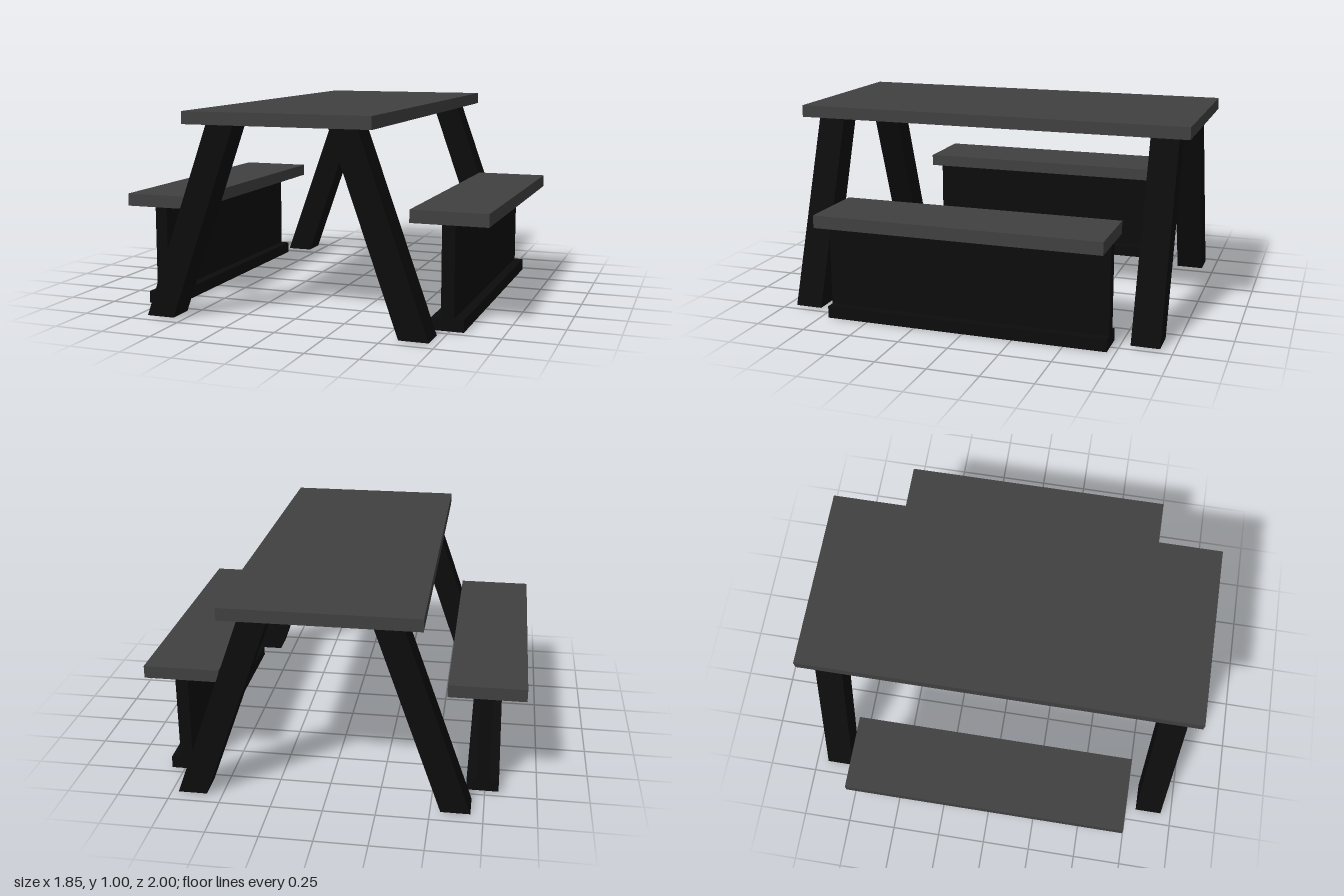
import * as THREE from 'three';

const boardMaterial = new THREE.MeshStandardMaterial({ color: 0x404040, flatShading: true });
const frameMaterial = new THREE.MeshStandardMaterial({ color: 0x0c0c0c, flatShading: true });

// Box given by its limits on each axis
function box(name, material, [x0, x1], [y0, y1], [z0, z1]) {
  const mesh = new THREE.Mesh(new THREE.BoxGeometry(x1 - x0, y1 - y0, z1 - z0), material);
  mesh.position.set((x0 + x1) / 2, (y0 + y1) / 2, (z0 + z1) / 2);
  mesh.name = name;
  return mesh;
}

// Slanted leg with level ends, splaying outwards towards the ground
function leg(name, side, z) {
  const centre = 0.0125;
  const outline = [[0.5625, 0.005], [0.7025, 0.005], [0.37, 0.94], [0.2325, 0.94]];
  const shape = new THREE.Shape(outline.map(([x, y]) => new THREE.Vector2(centre + side * x, y)));
  const geometry = new THREE.ExtrudeGeometry(shape, { depth: 0.138, bevelEnabled: false });
  const mesh = new THREE.Mesh(geometry, frameMaterial);
  mesh.position.z = z - 0.069;
  mesh.name = name;
  return mesh;
}

// Bench: seat board on an upright panel with a wider foot
function bench(name, side) {
  const group = new THREE.Group();
  group.name = name;
  const length = [-0.71, 0.71];
  group.add(
    box('seat', boardMaterial, [-0.186, 0.186], [0.493, 0.555], length),
    box('panel', frameMaterial, [-0.031, 0.031], [0.06, 0.493], length),
    box('foot', frameMaterial, [-0.078, 0.078], [0, 0.06], length)
  );
  group.position.x = side * 0.738;
  return group;
}

export function createModel() {
  const model = new THREE.Group();
  model.name = 'picnicTable';

  model.add(box('tableTop', boardMaterial, [-0.453, 0.467], [0.94, 1], [-1, 1]));

  for (const [sideName, side] of [['Left', 1], ['Right', -1]]) {
    model.add(leg(`front${sideName}Leg`, side, 0.875));
    model.add(leg(`back${sideName}Leg`, side, -0.868));
    model.add(bench(`bench${sideName}`, side));
  }
  return model;
}
